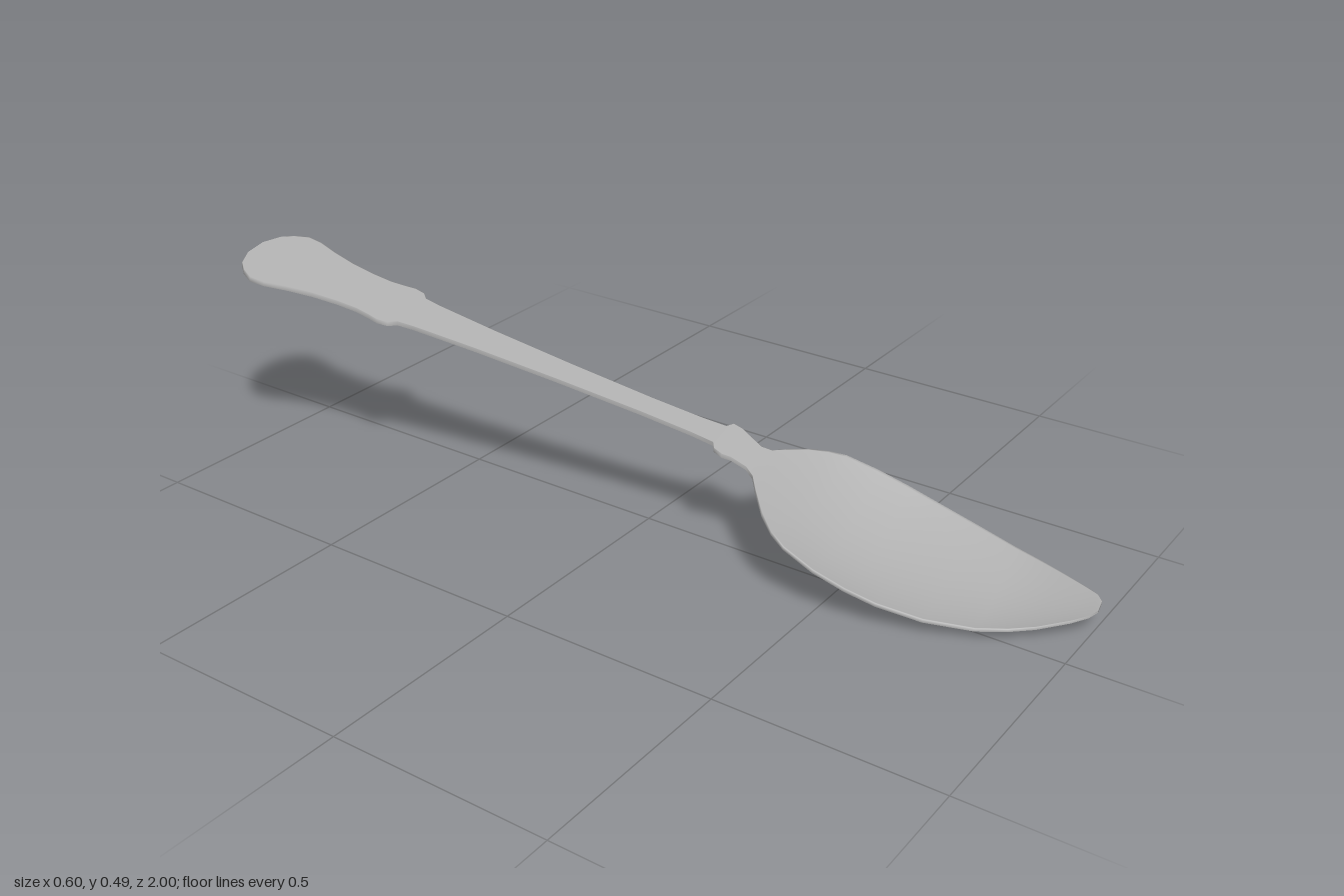
import * as THREE from 'three';

const ROLL = 0.08;   // slight sideways lean of the whole spoon
const HALF = 14;     // steps across the upper face

// Sweeps a thin lens section along z. Station: [z, halfWidth, rimHeight, dish depth, thickness]
function sweep(stations, capStart, capEnd) {
  const pos = [], idx = [], n = HALF * 2 + 2;
  for (const [s, w, y, depth, t] of stations) {
    for (let j = 0; j < n; j++) {
      const top = j <= HALF;
      const v = top ? -Math.cos(Math.PI * j / HALF) : Math.cos(Math.PI * (j - HALF - 1) / HALF);
      const u = v * w * (top ? 0.985 : 1);
      const thick = top ? 0 : t * (1 - 0.4 * v * v);
      pos.push(u, y - depth * (1 - v * v) - thick + ROLL * u, s);
    }
  }
  for (let k = 0; k < stations.length - 1; k++) {
    for (let j = 0; j < n; j++) {
      const a = k * n + j, c = k * n + (j + 1) % n;
      idx.push(a, a + n, c, c, a + n, c + n);
    }
  }
  const last = (stations.length - 1) * n;
  for (let j = 1; j < n - 1; j++) {
    if (capStart) idx.push(0, j, j + 1);
    if (capEnd) idx.push(last, last + j + 1, last + j);
  }
  const g = new THREE.BufferGeometry();
  g.setAttribute('position', new THREE.Float32BufferAttribute(pos, 3));
  g.setIndex(idx);
  g.computeVertexNormals();
  return g;
}

export function createModel() {
  const metal = new THREE.MeshStandardMaterial({ color: 0xb0b0b0 });
  metal.name = 'grey metal';
  const group = new THREE.Group();
  group.name = 'spoon';

  // Handle: flared end, upper shoulder, slim shaft, lower collar
  const outline = [
    [-1.014, 0.03], [-0.997, 0.078], [-0.975, 0.102], [-0.945, 0.12], [-0.91, 0.117],
    [-0.86, 0.1], [-0.8, 0.085], [-0.74, 0.077], [-0.69, 0.075], [-0.655, 0.08],
    [-0.63, 0.085], [-0.605, 0.08], [-0.59, 0.063], [-0.55, 0.057], [-0.4, 0.046],
    [-0.2, 0.037], [0, 0.032], [0.12, 0.033], [0.175, 0.037], [0.185, 0.056], [0.205, 0.058],
  ];
  const handle = new THREE.Mesh(
    sweep(outline.map(([s, w]) => [s, w, 0.292 - 0.2 * s - (s > 0.19 ? 0.005 : 0), 0, 0.015]), true, false), metal);
  handle.name = 'handle';

  // Bowl: neck opening into a dished oval with a narrow tip
  const bowl = new THREE.Mesh(sweep([
    [0.205, 0.058, 0.246, 0, 0.015],
    [0.222, 0.051, 0.239, 0, 0.014],
    [0.255, 0.045, 0.22, 0, 0.013],
    [0.275, 0.057, 0.209, 0.001, 0.013],
    [0.295, 0.09, 0.198, 0.003, 0.012],
    [0.33, 0.14, 0.18, 0.01, 0.012],
    [0.365, 0.174, 0.164, 0.018, 0.011],
    [0.4, 0.195, 0.15, 0.028, 0.01],
    [0.47, 0.209, 0.122, 0.04, 0.01],
    [0.54, 0.211, 0.097, 0.04, 0.01],
    [0.605, 0.206, 0.076, 0.036, 0.01],
    [0.7, 0.189, 0.053, 0.029, 0.01],
    [0.8, 0.157, 0.038, 0.024, 0.01],
    [0.86, 0.131, 0.036, 0.019, 0.01],
    [0.91, 0.104, 0.037, 0.014, 0.01],
    [0.97, 0.064, 0.042, 0.006, 0.01],
    [1.0, 0.04, 0.046, 0.002, 0.009],
    [1.013, 0.018, 0.047, 0, 0.007],
  ], false, true), metal);
  bowl.name = 'bowl';

  group.add(handle, bowl);
  group.rotation.y = 0.178;
  group.position.x = -0.01;
  return group;
}
